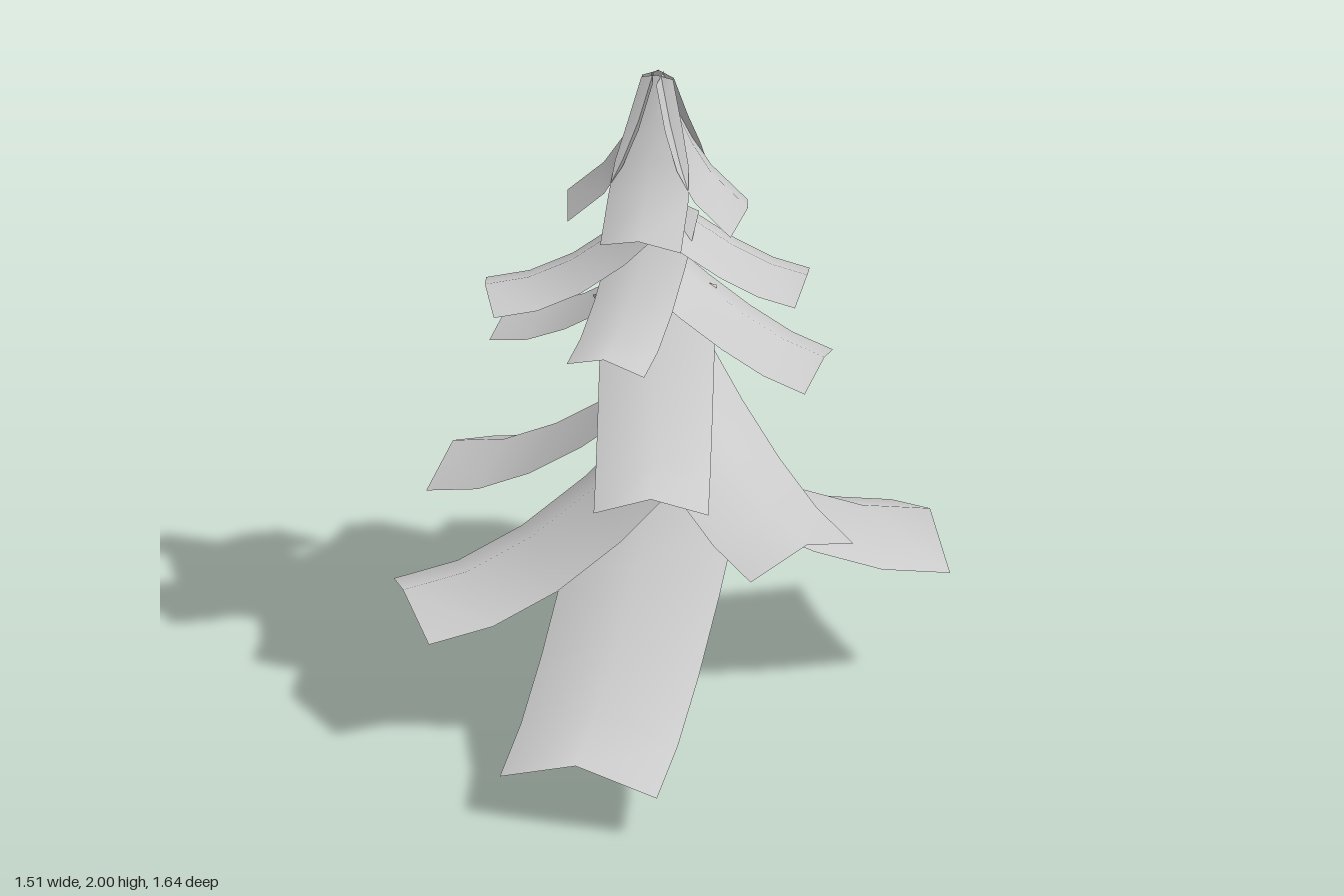
import * as THREE from 'three';

const needleGrey = new THREE.MeshStandardMaterial({ color: 0xcacaca, side: THREE.DoubleSide });
needleGrey.name = 'needleGrey';
const barkBrown = new THREE.MeshStandardMaterial({ color: 0x432809 });
barkBrown.name = 'barkBrown';

// centre line of the slightly leaning trunk
const trunkLine = new THREE.CatmullRomCurve3([
  new THREE.Vector3(-0.036, 0, -0.02),
  new THREE.Vector3(-0.036, 0.5, -0.015),
  new THREE.Vector3(-0.022, 1, 0),
  new THREE.Vector3(-0.03, 1.5, 0.01),
  new THREE.Vector3(-0.028, 1.94, 0.018),
]);

// a drooping strip folded along its middle; rows are [x, y, z, halfWidth, foldDown, foldIn]
function foldedStrip(name, rows, dirX, dirZ) {
  const pos = [], index = [];
  rows.forEach(([x, y, z, w, down, back], i) => {
    for (const s of [-1, 0, 1]) {
      const f = Math.abs(s);
      pos.push(x + s * w * dirZ - f * back * dirX, y - f * down, z - s * w * dirX - f * back * dirZ);
    }
    if (i === 0) return;
    for (let c = 0; c < 2; c++) {
      const a = (i - 1) * 3 + c, b = a + 1, d = a + 3, e = a + 4;
      index.push(a, d, b, b, d, e);
    }
  });
  const geo = new THREE.BufferGeometry();
  geo.setAttribute('position', new THREE.Float32BufferAttribute(pos, 3));
  geo.setIndex(index);
  geo.computeVertexNormals();
  const mesh = new THREE.Mesh(geo, needleGrey);
  mesh.name = name;
  return mesh;
}

// branch from the trunk at height startY to the ridge tip; a larger bend falls faster at first
function bough(name, tipX, tipY, tipZ, startY, halfWidth, bend = 1.55) {
  const x0 = -0.03, z0 = 0;
  const len = Math.hypot(tipX - x0, tipZ - z0);
  const rows = [];
  const n = 4;
  for (let i = 0; i <= n; i++) {
    const t = i / n;
    const drop = 1 - Math.pow(1 - t, bend);
    rows.push([x0 + (tipX - x0) * t, startY + (tipY - startY) * drop, z0 + (tipZ - z0) * t,
      halfWidth, halfWidth * 0.36, halfWidth * 0.12]);
  }
  return foldedStrip(name, rows, (tipX - x0) / len, (tipZ - z0) / len);
}

// tapered trunk swept along the centre line
function trunk() {
  const geo = new THREE.CylinderGeometry(1, 1, 1, 12, 8);
  const p = geo.attributes.position;
  for (let i = 0; i < p.count; i++) {
    const t = p.getY(i) + 0.5;
    const c = trunkLine.getPoint(t);
    const r = 0.065 - 0.045 * t;
    p.setXYZ(i, c.x + p.getX(i) * r, c.y, c.z + p.getZ(i) * r);
  }
  geo.computeVertexNormals();
  const mesh = new THREE.Mesh(geo, barkBrown);
  mesh.name = 'trunk';
  return mesh;
}

// short bare stub on the trunk
function twig(y, angle) {
  const g = new THREE.Group();
  const mesh = new THREE.Mesh(new THREE.CylinderGeometry(0.007, 0.01, 0.07, 6), barkBrown);
  mesh.position.set(0.06, 0, 0);
  mesh.rotation.z = -0.9;
  g.add(mesh);
  g.position.set(-0.035, y, -0.01);
  g.rotation.y = angle;
  g.name = 'twig';
  return g;
}

export function createModel() {
  const tree = new THREE.Group();
  tree.name = 'pineTree';
  tree.add(trunk(), twig(0.5, -1.5), twig(0.62, 2.3));

  // tip x, y, z, start height, half width, bend
  const boughs = [
    [-0.095, 0.22, 0.815, 0.72, 0.228],
    [-0.28, 0.17, -0.778, 0.70, 0.23],
    [0.65, 0.455, -0.437, 0.88, 0.23],
    [-0.69, 0.45, 0.322, 0.88, 0.2, 1.85],
    [0.48, 0.775, 0.42, 1.16, 0.183],
    [-0.66, 0.645, -0.21, 1.07, 0.185],
    [0.005, 0.89, -0.655, 1.34, 0.185],
    [0.07, 0.96, 0.583, 1.37, 0.16],
    [-0.49, 1.125, -0.155, 1.42, 0.133],
    [0.45, 1.165, 0.04, 1.44, 0.137, 1.4],
    [-0.02, 1.255, -0.46, 1.54, 0.135],
    [-0.495, 1.345, 0.142, 1.61, 0.12, 2],
    [0.39, 1.39, -0.015, 1.61, 0.12],
    [-0.095, 1.305, 0.435, 1.61, 0.115, 1.8],
  ];
  boughs.forEach((b, i) => tree.add(bough('bough' + (i + 1), ...b)));

  // four steep strips that close the crown: radius, height, half width
  const profile = [[0.015, 2.0, 0.045], [0.055, 1.88, 0.078], [0.1, 1.785, 0.105],
    [0.153, 1.7, 0.114], [0.257, 1.6, 0.115]];
  for (let k = 0; k < 4; k++) {
    const dx = Math.round(Math.sin(k * Math.PI / 2)), dz = Math.round(Math.cos(k * Math.PI / 2));
    const rows = profile.map(([r, y, w]) => [-0.03 + dx * r, y, 0.015 + dz * r, w, w * 0.32, w * 0.22]);
    tree.add(foldedStrip('crown' + (k + 1), rows, dx, dz));
  }
  return tree;
}
